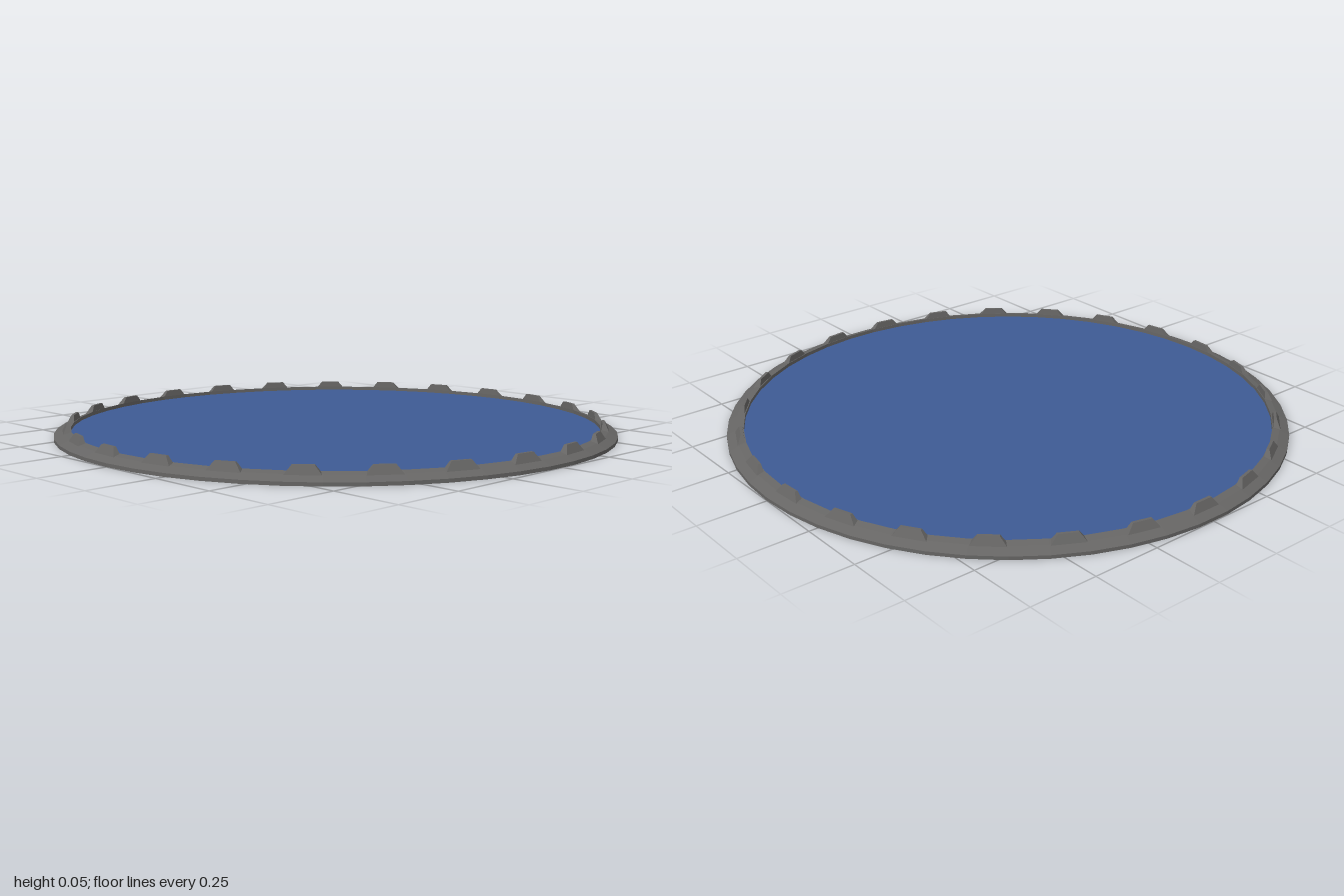
import * as THREE from 'three';

const SIDES = 50;

export function createModel() {
  const model = new THREE.Group();
  const rimGrey = new THREE.MeshStandardMaterial({ color: 0x666564, flatShading: true });
  rimGrey.name = 'rimGrey';
  const discBlue = new THREE.MeshStandardMaterial({ color: 0x3e5b94, flatShading: true });
  discBlue.name = 'discBlue';

  // Faceted rim: short outer wall, slope up to the inner lip, inner wall
  const profile = [
    [0.94, 0], [1, 0], [1, 0.012], [0.965, 0.028], [0.94, 0.034], [0.94, 0],
  ].map(([r, y]) => new THREE.Vector2(r, y));
  const rim = new THREE.Mesh(new THREE.LatheGeometry(profile, SIDES, Math.PI / 2), rimGrey);
  rim.name = 'rim';
  model.add(rim);

  // Flat disc set inside the rim
  const disc = new THREE.Mesh(
    new THREE.CylinderGeometry(0.941, 0.941, 0.004, SIDES, 1, false, Math.PI / 2), discBlue);
  disc.name = 'disc';
  disc.position.y = 0.019;
  model.add(disc);

  // Tapered tooth: a box with a narrower top and a sloping outer face
  const tooth = new THREE.BoxGeometry(2, 2, 2);
  const pos = tooth.attributes.position;
  for (let i = 0; i < pos.count; i++) {
    const top = pos.getY(i) > 0;
    const outer = pos.getZ(i) > 0;
    const halfWidth = top ? 0.034 : 0.058;
    const radius = outer ? (top ? 0.954 : 0.968) : (top ? 0.944 : 0.941);
    pos.setXYZ(i, Math.sign(pos.getX(i)) * halfWidth, top ? 0.055 : 0.025, radius);
  }
  tooth.computeVertexNormals();

  // One tooth on every second facet of the rim
  const teeth = new THREE.Group();
  teeth.name = 'teeth';
  for (let i = 0; i < SIDES / 2; i++) {
    const mesh = new THREE.Mesh(tooth, rimGrey);
    mesh.name = 'tooth';
    mesh.rotation.y = Math.PI + (i * 4 * Math.PI) / SIDES;
    teeth.add(mesh);
  }
  model.add(teeth);
  return model;
}
